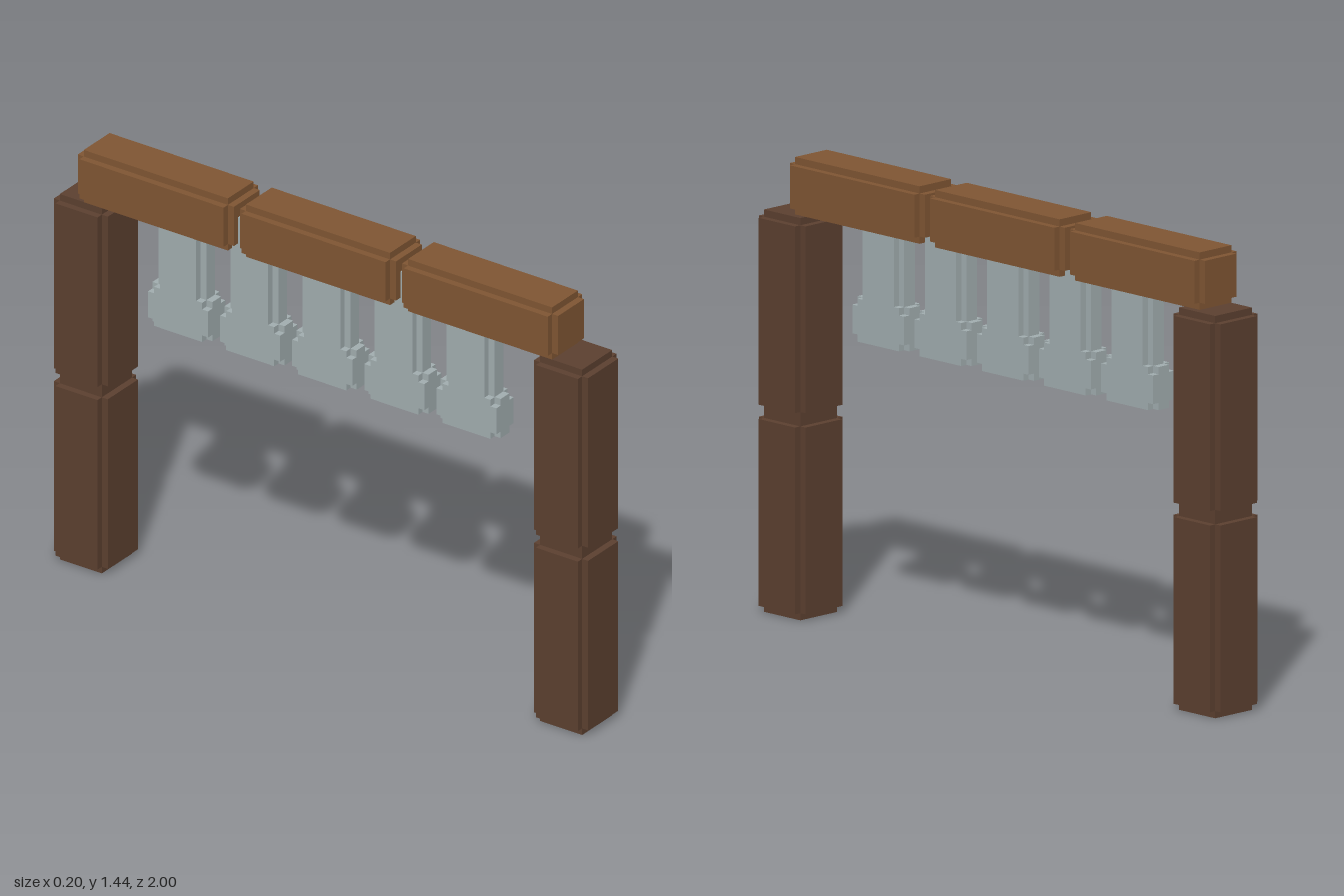
import * as THREE from 'three';

const U = 2 / 89; // one block unit

const darkWood = new THREE.MeshStandardMaterial({ color: 0x5c4030 });
darkWood.name = 'dark wood';
const lightWood = new THREE.MeshStandardMaterial({ color: 0x805633 });
lightWood.name = 'light wood';
const paleSteel = new THREE.MeshStandardMaterial({ color: 0xa2aeb0 });
paleSteel.name = 'pale steel';

// Box given by its limits, in block units
function box(name, [x0, x1], [y0, y1], [z0, z1], material) {
  const geometry = new THREE.BoxGeometry((x1 - x0) * U, (y1 - y0) * U, (z1 - z0) * U);
  const mesh = new THREE.Mesh(geometry, material);
  mesh.name = name;
  mesh.position.set((x0 + x1) / 2 * U, (y0 + y1) / 2 * U, (z0 + z1) / 2 * U);
  return mesh;
}

const inset = ([a, b]) => [a + 1, b - 1];

// Block whose twelve edges are notched by one unit: three crossing boxes
function notchedBlock(name, x, y, z, material) {
  const group = new THREE.Group();
  group.name = name;
  group.add(
    box(name + 'Sides', x, inset(y), inset(z), material),
    box(name + 'Ends', inset(x), y, inset(z), material),
    box(name + 'Faces', inset(x), inset(y), z, material)
  );
  return group;
}

export function createModel() {
  const model = new THREE.Group();
  model.name = 'gateway';

  // Posts, each of two stacked blocks
  for (const [name, z] of [['frontPost', 40], ['backPost', -40]]) {
    const post = new THREE.Group();
    post.name = name;
    for (const [part, y] of [['Lower', 0], ['Upper', 28]]) {
      post.add(notchedBlock(name + part, [-4.5, 4.5], [y, y + 28], [z - 4.5, z + 4.5], darkWood));
    }
    model.add(post);
  }

  // Lintel of three beams end to end
  for (let i = -1; i <= 1; i++) {
    const z = -0.5 + i * 27;
    model.add(notchedBlock('lintelBeam' + (i + 2), [-4.5, 3.5], [56, 64], [z - 13, z + 13], lightWood));
  }

  // Hanging bars with wider feet
  const thick = [-2.5, 1.5];
  for (let i = -2; i <= 2; i++) {
    const z = -0.5 + i * 12;
    const bar = new THREE.Group();
    bar.name = 'hangingBar' + (i + 3);
    bar.add(
      // shaft with notched upright edges
      box('shaftCore', thick, [46, 61], [z - 3, z + 3], paleSteel),
      box('shaftSides', inset(thick), [46, 61], [z - 4, z + 4], paleSteel),
      // foot with recessed corners
      box('footUpright', thick, [40, 46], [z - 4, z + 4], paleSteel),
      box('footCrossbar', thick, [41, 45], [z - 5, z + 5], paleSteel),
      box('footCorners', inset(thick), [40, 46], [z - 5, z + 5], paleSteel)
    );
    model.add(bar);
  }

  return model;
}
